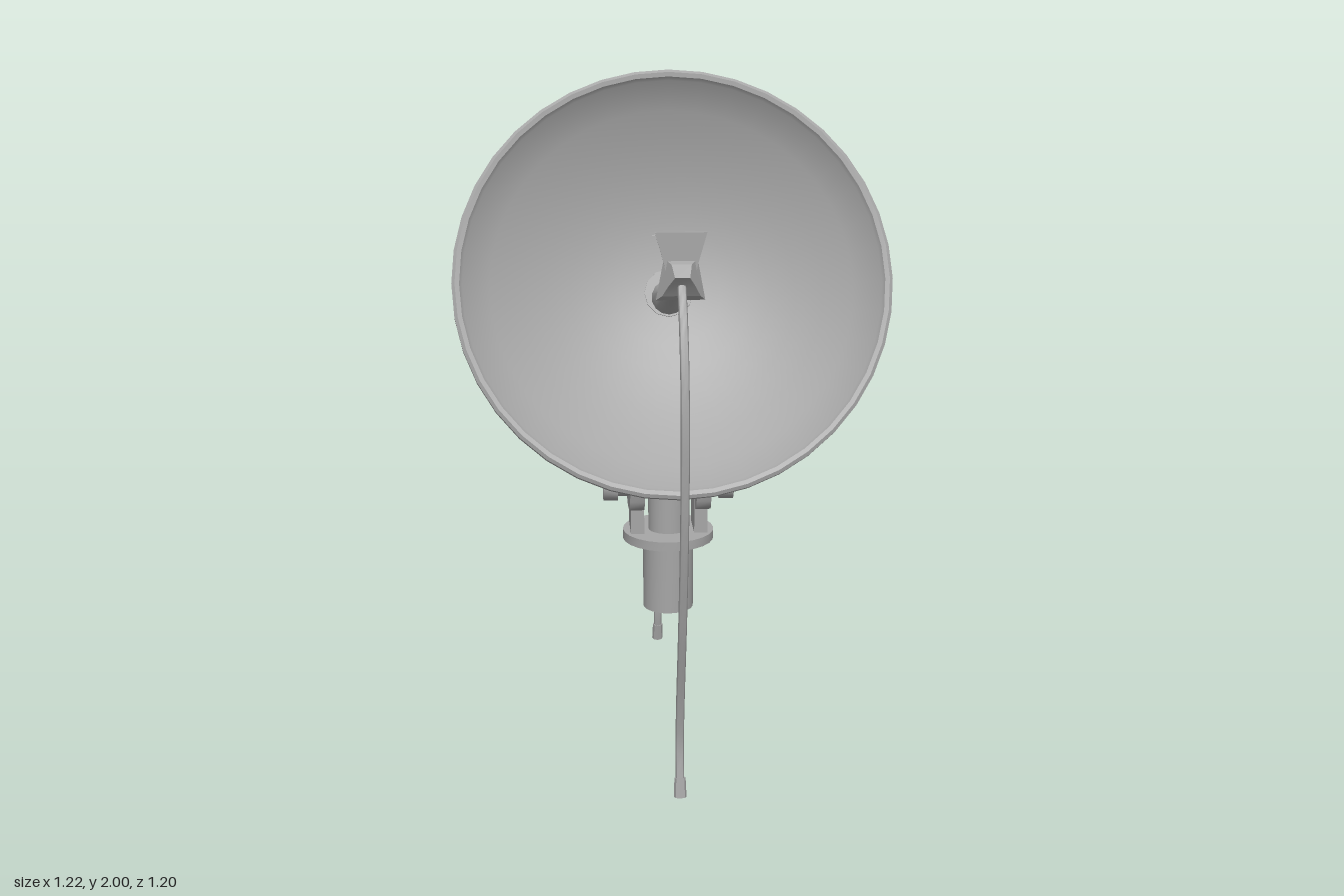
import * as THREE from 'three';
import { toCreasedNormals } from 'three/addons/utils/BufferGeometryUtils.js';

export function createModel() {
  const root = new THREE.Group();
  root.name = 'satelliteDish';
  const grey = new THREE.MeshStandardMaterial({ color: 0xa6a6a6 });
  grey.name = 'weathered grey';

  let seed = 7;
  const rand = () => (seed = (seed * 16807) % 2147483647) / 2147483647;
  const V = (x, y, z) => new THREE.Vector3(x, y, z);

  function add(name, geo, crease = 0.6, parent = root) {
    const mesh = new THREE.Mesh(toCreasedNormals(geo, crease), grey);
    mesh.name = name;
    parent.add(mesh);
    return mesh;
  }
  const lathe = (pts, n) => new THREE.LatheGeometry(pts.map(p => new THREE.Vector2(...p)), n);
  // Upright turned part
  const post = (name, r0, r1, y0, y1, z, n = 24) =>
    add(name, new THREE.CylinderGeometry(r1, r0, y1 - y0, n).translate(0, (y0 + y1) / 2, z));
  // Outline given as [z, y], given a width along x
  function sidePlate(pts, width, x = 0, curved = false) {
    const p = pts.map(q => new THREE.Vector2(...q));
    const shape = new THREE.Shape();
    if (curved) shape.setFromPoints(new THREE.CatmullRomCurve3(p.map(q => V(q.x, q.y, 0)), true)
      .getPoints(40).slice(0, -1).map(q => new THREE.Vector2(q.x, q.y)));
    else shape.setFromPoints(p);
    return new THREE.ExtrudeGeometry(shape, { depth: width, bevelEnabled: false })
      .translate(0, 0, -width / 2).rotateY(-Math.PI / 2).translate(x, 0, 0);
  }

  // Parabolic bowl with a rolled rim, tilted up
  const back = [], inner = [];
  for (let i = 0; i <= 8; i++) {
    const t = i / 8;
    back.push([0.588 * t, -0.262 + 0.212 * t * t]);
    inner.unshift([0.575 * t, -0.238 + 0.222 * t * t]);
  }
  const bowl = add('dish', lathe([...back, [0.598, -0.048], [0.604, -0.03], [0.603, -0.006],
    [0.594, 0], [0.582, -0.004], ...inner], 40), 0.5);
  bowl.position.set(0, 1.44, 0.19);
  bowl.rotation.x = 1.188;
  bowl.scale.x = 1.012;

  // Feed arm from the bowl centre to the receiver
  const from = V(0, 1.345, -0.045), to = V(0, 1.497, 0.425);
  const len = from.distanceTo(to);
  const arm = add('feedArm', lathe([[0, 0], [0.05, 0], [0.05, 0.03], [0.038, 0.07], [0.03, 0.13],
    [0.026, len * 0.6], [0.025, len - 0.03], [0.033, len - 0.02], [0.033, len], [0, len]], 14));
  arm.position.copy(from);
  arm.quaternion.setFromUnitVectors(V(0, 1, 0), to.clone().sub(from).normalize());

  // Receiver: waisted back plate and a hooded block in front
  const tie = new THREE.Shape([[-0.045, 1.53], [-0.035, 1.48], [0.035, 1.48], [0.045, 1.53],
    [0.068, 1.61], [-0.068, 1.61]].map(p => new THREE.Vector2(...p)));
  add('receiverPlate', new THREE.ExtrudeGeometry(tie, { depth: 0.012, bevelEnabled: false })
    .translate(0, 0, 0.424));
  const hood = sidePlate([[0.42, 1.43], [0.445, 1.445], [0.465, 1.475], [0.487, 1.5],
    [0.455, 1.53], [0.42, 1.54]], 0.13);
  const hp = hood.attributes.position;
  for (let i = 0; i < hp.count; i++) {
    const k = 1 - (hp.getZ(i) - 0.42) * 9 - Math.max(0, hp.getY(i) - 1.46) * 4;
    hp.setX(i, hp.getX(i) * Math.max(0.3, k));
  }
  add('receiverHood', hood, 0.3);

  // Hanging cables with plugs, paths given as [z, y]
  function cable(name, pts, radius) {
    const path = pts.map(([z, y]) => V(0, y, z));
    const g = new THREE.Group();
    g.name = name;
    root.add(g);
    add('cableRun', new THREE.TubeGeometry(new THREE.CatmullRomCurve3(path), 48, radius, 8), 0.9, g);
    const [a, b] = path.slice(-2);
    const dir = b.clone().sub(a).normalize();
    const plug = add('plug', new THREE.CylinderGeometry(0.016, 0.018, 0.055, 8), 0.6, g);
    plug.position.copy(b).addScaledVector(dir, -0.026);
    plug.quaternion.setFromUnitVectors(V(0, -1, 0), dir);
    return g;
  }
  cable('frontCable', [[0.45, 1.485], [0.51, 1.4], [0.56, 1.28], [0.585, 1.13], [0.583, 0.98],
    [0.565, 0.81], [0.51, 0.55], [0.435, 0.28], [0.415, 0.15], [0.428, 0.06], [0.44, 0.004]], 0.012);
  const rear = cable('rearCable', [[-0.33, 0.84], [-0.36, 0.805], [-0.42, 0.77], [-0.5, 0.65],
    [-0.55, 0.49], [-0.562, 0.28], [-0.568, 0.15], [-0.583, 0.06]], 0.013);
  const tip = add('cableTip', new THREE.SphereGeometry(0.02, 8, 6), 1, rear);
  tip.scale.set(0.8, 1.7, 0.8);
  tip.position.set(0, 0.832, -0.338);
  tip.rotation.x = 0.7;

  // Ground post, flange and pivot column
  const Z = -0.055;
  post('groundPost', 0.076, 0.076, 0.39, 0.62, Z);
  post('flange', 0.137, 0.137, 0.61, 0.638, Z);
  post('pivotColumn', 0.06, 0.06, 0.63, 0.93, Z);

  // Kidney-shaped pivot cheeks, their feet and bolts
  const cheek = [[0.07, 0.985], [0.11, 0.955], [0.118, 0.9], [0.085, 0.845], [0.07, 0.79],
    [0.05, 0.735], [0, 0.715], [-0.1, 0.7], [-0.2, 0.725], [-0.258, 0.78], [-0.27, 0.86],
    [-0.25, 0.93], [-0.19, 0.97], [-0.08, 0.983]];
  for (const s of [-1, 1]) {
    const side = s > 0 ? 'left' : 'right';
    add(side + 'Cheek', sidePlate(cheek, 0.043, s * 0.098, true), 0.5);
    add(side + 'Foot', new THREE.BoxGeometry(0.04, 0.13, 0.115).translate(s * 0.095, 0.695, -0.06));
    const bolt = (name, r, x0, x1) => add(side + name, new THREE.CylinderGeometry(r, r, x1 - x0, 16)
      .rotateZ(Math.PI / 2).translate(s * (x0 + x1) / 2, 0.775, -0.062));
    bolt('BoltShank', 0.034, 0.1, 0.16);
    bolt('BoltHead', 0.047, 0.152, 0.195);
  }
  add('pivotAxle', new THREE.CylinderGeometry(0.04, 0.04, 0.2, 12).rotateZ(Math.PI / 2)
    .translate(0, 0.775, -0.062));

  // Neck with clamp rings
  const neck = post('neck', 0.062, 0.083, 0.88, 1.15, -0.09);
  neck.rotation.x = 0;
  post('lowerRing', 0.078, 0.08, 1.005, 1.025, -0.118, 16);
  add('upperRingFlap', sidePlate([[0.06, 1.118], [0.058, 1.132], [-0.03, 1.125], [-0.175, 1.13],
    [-0.18, 1.115], [-0.03, 1.112]], 0.1));

  // Broken housing lofted from jittered rings: [y, z centre, half width, half depth, jitter]
  const rings = [[1.12, -0.1, 0.088, 0.09, 0], [1.19, -0.108, 0.1, 0.097, 0.02],
    [1.255, -0.125, 0.105, 0.1, 0.05], [1.275, -0.13, 0.155, 0.11, 0.25], [1.32, -0.14, 0.14, 0.1, 0.22],
    [1.38, -0.148, 0.11, 0.083, 0.1], [1.46, -0.15, 0.08, 0.08, 0.03], [1.485, -0.15, 0.06, 0.06, 0.05]];
  const N = 18, pos = [], idx = [];
  for (const [y, z, rx, rz, j] of rings)
    for (let i = 0; i < N; i++) {
      const a = i / N * Math.PI * 2, k = 1 + (rand() - 0.5) * j;
      pos.push(Math.sin(a) * rx * k, y + (rand() - 0.5) * j * 0.1, z + Math.cos(a) * rz * k);
    }
  for (let r = 0; r < rings.length - 1; r++)
    for (let i = 0; i < N; i++) {
      const a = r * N + i, b = r * N + (i + 1) % N;
      idx.push(a, b, b + N, a, b + N, a + N);
    }
  for (let i = 1; i < N - 1; i++) {
    const t = (rings.length - 1) * N;
    idx.push(0, i + 1, i, t, t + i, t + i + 1);
  }
  const housing = new THREE.BufferGeometry();
  housing.setAttribute('position', new THREE.Float32BufferAttribute(pos, 3));
  housing.setIndex(idx);
  add('brokenHousing', housing, 0.45);

  // Ragged fragments along the broken edge
  for (const s of [-1, 1])
    for (let i = 0; i < 8; i++) {
      const t = i / 7;
      const bit = add('fragment', new THREE.DodecahedronGeometry(0.022 + rand() * 0.01), 0.1);
      bit.position.set(s * (0.175 - 0.12 * t * t), 1.265 + rand() * 0.05, -0.08 - 0.15 * Math.sqrt(t));
      bit.rotation.set(rand() * 3, rand() * 3, rand() * 3);
      bit.scale.set(1, 0.7 + rand() * 0.5, 0.8);
    }

  // Mount joining the housing to the bowl
  add('dishMount', new THREE.CylinderGeometry(0.07, 0.09, 0.13, 12).rotateX(1.188)
    .translate(0, 1.34, -0.09));

  // Curled strip over the housing
  add('curledStrip', sidePlate([[-0.075, 1.525], [-0.09, 1.55], [-0.13, 1.557], [-0.18, 1.543],
    [-0.215, 1.505], [-0.232, 1.45], [-0.23, 1.32], [-0.2, 1.32], [-0.205, 1.45], [-0.195, 1.5],
    [-0.165, 1.53], [-0.13, 1.54], [-0.1, 1.535], [-0.085, 1.52]], 0.09), 0.6);
  return root;
}
